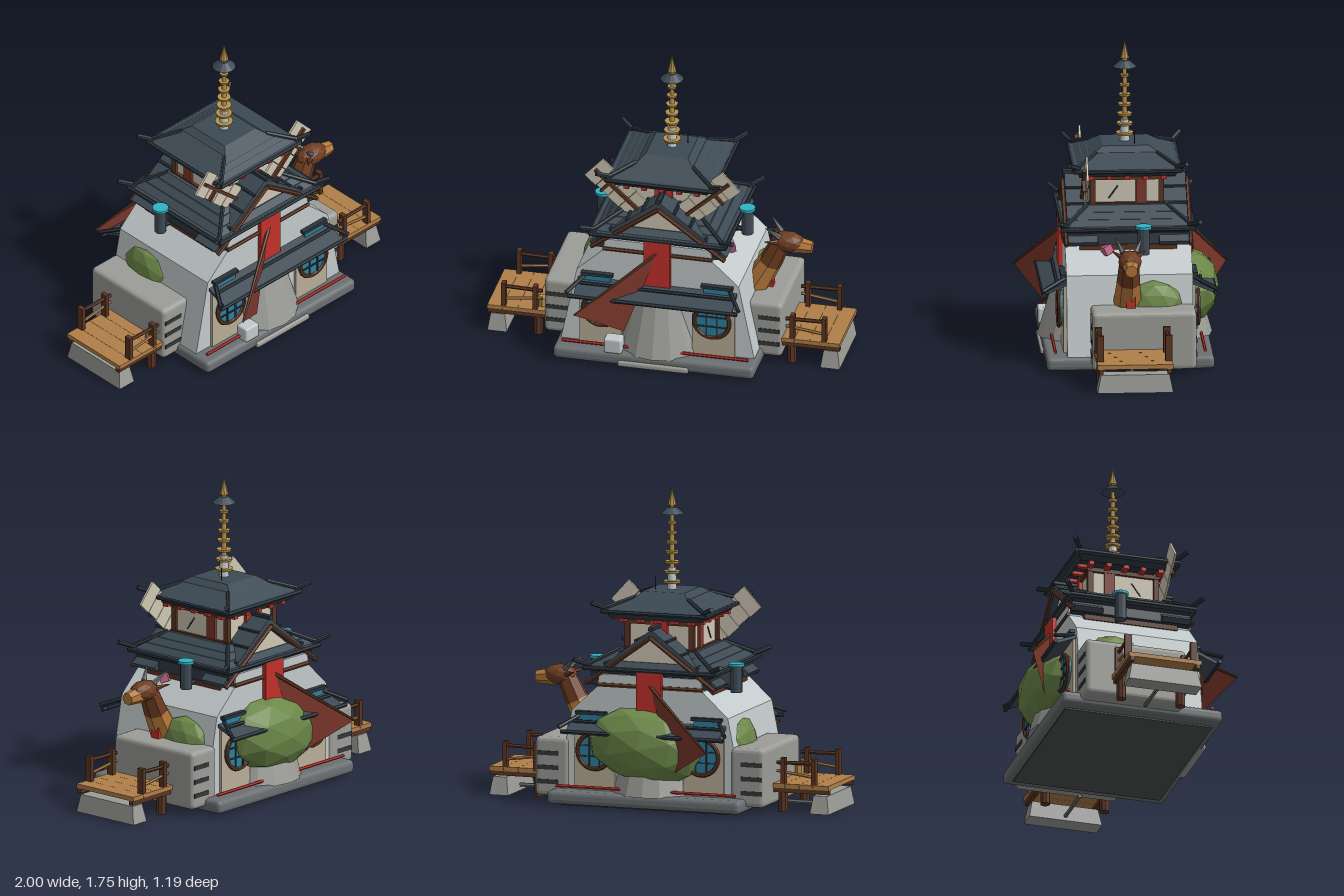
import * as THREE from 'three';
import { RoundedBoxGeometry } from 'three/addons/geometries/RoundedBoxGeometry.js';

const V = (x, y, z) => new THREE.Vector3(x, y, z);
const mats = {};
const mat = (color) => (mats[color] ??= new THREE.MeshStandardMaterial({ color, flatShading: true, side: THREE.DoubleSide }));
const SLATE = 0x3d4a54, DARK = 0x2b353d, RED = 0xc2302a, BROWN = 0x5c3523, WOOD = 0xb07f48, STONE = 0x9c9d98,
  WALL = 0xc3cacb, CREAM = 0xcfc7b4, GREEN = 0x6b8748, GOLD = 0xb8924a, CYAN = 0x2fb3c4, SAIL = 0x7d372b, GREY = 0x6b7072;

export function createModel() {
  const root = new THREE.Group();
  const add = (name, geo, color, x = 0, y = 0, z = 0) => {
    const m = new THREE.Mesh(geo, mat(color));
    m.name = name;
    m.position.set(x, y, z);
    root.add(m);
    return m;
  };
  const box = (name, color, w, h, d, x, y, z) => add(name, new THREE.BoxGeometry(w, h, d), color, x, y, z);
  const round = (name, color, w, h, d, x, y, z, r = 0.02) => add(name, new RoundedBoxGeometry(w, h, d, 2, r), color, x, y, z);
  const cyl = (name, color, r1, r2, h, x, y, z, n = 12) => add(name, new THREE.CylinderGeometry(r1, r2, h, n), color, x, y, z);
  // Tapered rod from a to b
  const rod = (name, color, a, b, r1, r2 = r1, n = 6) => {
    const d = b.clone().sub(a);
    const m = cyl(name, color, r2, r1, d.length(), 0, 0, 0, n);
    m.position.copy(a).add(b).multiplyScalar(0.5);
    m.quaternion.setFromUnitVectors(V(0, 1, 0), d.normalize());
    return m;
  };
  // Box whose top rectangle differs from its bottom (half sizes)
  const frustum = (name, color, w1, d1, y1, w2, d2, y2, x = 0, z = 0) => {
    const g = new THREE.BoxGeometry(2, 2, 2), p = g.attributes.position;
    for (let i = 0; i < p.count; i++) {
      const up = p.getY(i) > 0;
      p.setXYZ(i, p.getX(i) * (up ? w2 : w1), up ? y2 : y1, p.getZ(i) * (up ? d2 : d1));
    }
    return add(name, g, color, x, 0, z);
  };
  const extrude = (name, color, pts, depth, z) => {
    const s = new THREE.Shape(pts.map(([x, y]) => new THREE.Vector2(x, y)));
    return add(name, new THREE.ExtrudeGeometry(s, { depth, bevelEnabled: false }), color, 0, 0, z);
  };

  // Foundation and main body
  round('foundation', GREY, 1.14, 0.075, 0.93, 0, 0.05, 0, 0.025);
  box('foundationCore', 0x4b4f50, 1.0, 0.03, 0.85, 0, 0.02, 0);
  extrude('body', WALL, [[-0.55, 0.08], [0.55, 0.08], [0.46, 0.53], [0.31, 0.67], [0.3, 0.74], [-0.3, 0.74], [-0.31, 0.67], [-0.46, 0.53]], 0.7, -0.35);
  round('frontStep', STONE, 0.4, 0.035, 0.1, 0, 0.03, 0.43, 0.012);
  round('stoneLantern', WALL, 0.1, 0.09, 0.08, -0.23, 0.13, 0.43, 0.012);

  for (const s of [1, -1]) {
    // Buttress, windows and small eaves on the front and back walls
    cyl('buttress', STONE, 0.15, 0.26, 0.38, 0, 0.27, s * 0.225, 16);
    for (const k of [1, -1]) {
      box('wallPanel', 0xb8ad97, 0.24, 0.4, 0.02, k * 0.32, 0.28, s * 0.355);
      const x = k * 0.315, z = s * 0.375;
      cyl('windowPane', 0x2f7f9e, 0.1, 0.1, 0.02, x, 0.31, z, 20).rotation.x = Math.PI / 2;
      add('windowFrame', new THREE.TorusGeometry(0.1, 0.012, 6, 24), BROWN, x, 0.31, z + s * 0.01);
      for (const d of [-0.03, 0.03]) {
        box('windowBar', DARK, 0.19, 0.008, 0.008, x, 0.31 + d, z + s * 0.012);
        box('windowBar', DARK, 0.008, 0.19, 0.008, x + d, 0.31, z + s * 0.012);
      }
      box('transom', 0x2f7f9e, 0.15, 0.05, 0.02, k * 0.34, 0.49, s * 0.36);
      box('transomFrame', DARK, 0.18, 0.018, 0.04, k * 0.34, 0.52, s * 0.36);
      rod('redRail', RED, V(k * 0.14, 0.11, s * 0.415), V(k * 0.53, 0.11, s * 0.415), 0.009);
      rod('eaveHip', DARK, V(k * 0.4, 0.51, s * 0.34), V(k * 0.49, 0.45, s * 0.485), 0.012);
    }
    const eave = box('smallEave', SLATE, 0.9, 0.018, 0.16, 0, 0.455, s * 0.405);
    eave.rotation.x = s * 0.4;
    rod('eaveEdge', DARK, V(-0.48, 0.425, s * 0.475), V(0.48, 0.425, s * 0.475), 0.013);
    rod('eaveRidge', DARK, V(-0.43, 0.475, s * 0.4), V(0.43, 0.475, s * 0.4), 0.01);

    // Banner and slanted sail with its spar
    box('banner', RED, 0.15, 0.29, 0.025, 0, 0.63, s * 0.36);
    const a = V(0, 0.69, s * 0.36), b = V(-0.42, 0.37, s * 0.59), c = V(-0.17, 0.22, s * 0.44);
    add('sail', new THREE.BufferGeometry().setFromPoints([a, b, c]), SAIL).geometry.computeVertexNormals();
    rod('sailSpar', BROWN, a, b, 0.012, 0.006);

    // Cross gable in the lower roof
    extrude('gableWall', CREAM, [[-0.27, 0.74], [0.27, 0.74], [0, 0.96]], 0.27, s > 0 ? 0.03 : -0.3);
    const chevron = [[0, 1.0], [0.39, 0.7], [0.37, 0.675], [0, 0.95], [-0.37, 0.675], [-0.39, 0.7]];
    extrude('gableRoof', SLATE, chevron, 0.165, s > 0 ? 0.17 : -0.335);
    for (const k of [1, -1]) {
      rod('bargeBoard', BROWN, V(0, 0.955, s * 0.345), V(k * 0.38, 0.68, s * 0.345), 0.013);
      for (let i = 1; i < 4; i++)
        rod('gableTileRow', DARK, V(k * i * 0.09, 1.005 - i * 0.069, s * 0.17), V(k * i * 0.09, 1.005 - i * 0.069, s * 0.34), 0.009);
    }
    rod('gableRidge', DARK, V(0, 1.005, s * 0.17), V(0, 1.005, s * 0.345), 0.016);
    rod('gableTie', BROWN, V(-0.31, 0.68, s * 0.35), V(0.31, 0.68, s * 0.35), 0.013);
  }

  // Square stepped roofs with ridge poles that kick up at the corners
  const roof = (name, w, d, y, topW, topD, topY) => {
    frustum(name + 'Soffit', DARK, w * 0.86, d * 0.9, y - 0.03, w * 0.93, d * 0.95, y);
    frustum(name + 'Eave', SLATE, w, d, y, w * 0.98, d * 0.98, y + 0.02);
    const n = 3;
    for (let i = 0; i < n; i++) {
      const at = (e, t) => e + (t - e) * (i / n), nx = (e, t) => e + (t - e) * ((i + 0.85) / n);
      frustum(name + 'Tier', SLATE, at(w * 0.93, topW), at(d * 0.93, topD), at(y + 0.02, topY),
        nx(w * 0.93, topW), nx(d * 0.93, topD), at(y + 0.02, topY) + (topY - y - 0.02) / n);
    }
    for (const i of [1, -1]) {
      rod(name + 'Edge', DARK, V(-w, y + 0.01, i * d), V(w, y + 0.01, i * d), 0.012);
      rod(name + 'Edge', DARK, V(i * w, y + 0.01, -d), V(i * w, y + 0.01, d), 0.012);
      for (const k of [1, -1]) {
        rod(name + 'Hip', DARK, V(i * topW, topY, k * topD), V(i * w * 0.96, y + 0.03, k * d * 0.96), 0.012);
        rod(name + 'Tip', DARK, V(i * w * 0.92, y + 0.025, k * d * 0.92), V(i * (w + 0.05), y + 0.06, k * (d + 0.03)), 0.014);
      }
    }
  };
  roof('lowerRoof', 0.385, 0.365, 0.76, 0.22, 0.22, 0.87);
  frustum('lowerRoofSkirt', DARK, 0.36, 0.34, 0.68, 0.35, 0.34, 0.74);
  for (const k of [1, -1]) box('sideRafter', BROWN, 0.05, 0.03, 0.54, k * 0.32, 0.66, 0);
  roof('upperRoof', 0.305, 0.295, 1.07, 0.16, 0.17, 1.15);
  frustum('roofCap', SLATE, 0.17, 0.19, 1.14, 0.12, 0.13, 1.18);

  // Upper storey with timber frame, doors and red brackets
  box('upperStorey', CREAM, 0.38, 0.24, 0.38, 0, 0.95, 0);
  for (const s of [1, -1]) {
    box('redDoorway', RED, 0.1, 0.22, 0.02, 0, 0.95, s * 0.2);
    box('sideDoor', SAIL, 0.02, 0.15, 0.06, s * 0.195, 0.94, -0.08);
    rod('wallCrack', DARK, V(s * 0.192, 0.9, 0.1), V(s * 0.192, 0.97, 0.05), 0.004);
    for (const y of [0.865, 1.02]) {
      box('beam', BROWN, 0.42, 0.025, 0.025, 0, y, s * 0.195);
      box('beam', BROWN, 0.025, 0.025, 0.42, s * 0.195, y, 0);
    }
    for (const k of [1, -1]) box('cornerPost', BROWN, 0.03, 0.24, 0.03, s * 0.19, 0.95, k * 0.19);
    for (let i = -2; i <= 2; i++) {
      box('bracket', RED, 0.03, 0.025, 0.07, i * 0.1, 1.035, s * 0.23);
      box('bracket', RED, 0.07, 0.025, 0.03, s * 0.23, 1.035, i * 0.1);
    }
    // Slanted slatted vanes beside the gable
    const vane = new THREE.Group();
    vane.name = 'vane';
    for (let i = 0; i < 4; i++) {
      const slat = new THREE.Mesh(new THREE.BoxGeometry(0.14 + (i % 2) * 0.012, 0.085, 0.012), mat(CREAM));
      slat.position.y = 0.02 + i * 0.088;
      vane.add(slat);
    }
    const spine = new THREE.Mesh(new THREE.BoxGeometry(0.018, 0.34, 0.025), mat(BROWN));
    spine.position.set(0, 0.14, 0.012);
    const cross = new THREE.Mesh(new THREE.BoxGeometry(0.15, 0.015, 0.025), mat(BROWN));
    cross.position.set(0, 0.2, 0.012);
    vane.add(spine, cross);
    vane.position.set(s * 0.15, 0.9, 0.23);
    vane.rotation.z = -s * 0.83;
    root.add(vane);
  }

  // Spire
  cyl('spireBase', WALL, 0.022, 0.028, 0.14, 0, 1.23, 0);
  cyl('spirePole', GOLD, 0.01, 0.016, 0.42, 0, 1.46, 0);
  for (let i = 0; i < 7; i++) cyl('spireRing', GOLD, 0.05 - i * 0.004, 0.046 - i * 0.004, 0.014, 0, 1.22 + i * 0.055, 0, 14);
  cyl('spireParasol', SLATE, 0.025, 0.066, 0.035, 0, 1.62, 0);
  add('spireTip', new THREE.ConeGeometry(0.025, 0.1, 8), GOLD, 0, 1.7, 0);
  cyl('spireTipStem', GOLD, 0.012, 0.012, 0.05, 0, 1.645, 0);
  rod('aerial', DARK, V(0.08, 1.15, -0.05), V(0.08, 1.25, -0.05), 0.003);

  for (const s of [1, -1]) {
    // Side blocks with vents
    round('sideBlock', STONE, 0.2, 0.33, 0.58, s * 0.575, 0.205, -0.07, 0.025);
    for (const y of [0.28, 0.2, 0.12])
      for (const z of [0.217, -0.357]) box('vent', 0x34383a, 0.12, 0.025, 0.012, s * 0.6, y, z);
    // Decks
    for (let i = 0; i < 4; i++) box('deckPlank', WOOD, 0.085, 0.025, 0.42, s * (0.7 + i * 0.086), 0.148, 0);
    for (const z of [0.19, -0.19]) {
      box('deckBeam', BROWN, 0.34, 0.03, 0.025, s * 0.83, 0.125, z);
      cyl('deckPile', BROWN, 0.028, 0.028, 0.14, s * 0.72, 0.07, z * 0.9, 8);
      for (const x of [0.73, 0.91]) box('railPost', BROWN, 0.025, 0.16, 0.04, s * x, 0.225, z);
      rod('handRail', BROWN, V(s * 0.69, 0.275, z), V(s * 0.92, 0.28, z), 0.011);
      rod('lowerRail', WOOD, V(s * 0.69, 0.23, z), V(s * 0.92, 0.2, z), 0.009);
    }
    rod('deckBrace', GREY, V(s * 0.62, 0.03, 0), V(s * 0.92, 0.03, 0), 0.012);
    frustum('deckFoot', STONE, 0.055, 0.21, 0, 0.04, 0.19, 0.1, s * 0.945);
    // Chimneys
    cyl('chimney', SLATE, 0.033, 0.033, 0.15, s * 0.41, 0.71, -0.08);
    cyl('chimneyCap', CYAN, 0.045, 0.045, 0.015, s * 0.41, 0.79, -0.08, 16);
    rod('chimneyArm', DARK, V(s * 0.3, 0.66, -0.08), V(s * 0.41, 0.66, -0.08), 0.015);
  }
  cyl('barrel', GOLD, 0.028, 0.028, 0.05, -0.7, 0.185, 0.14, 8);

  // Faceted shrubs
  const shrub = (x, y, z, rx, ry, rz, tilt = 0) => {
    const m = add('shrub', new THREE.IcosahedronGeometry(1, 1), GREEN, x, y, z);
    m.scale.set(rx, ry, rz);
    m.rotation.z = tilt;
  };
  shrub(0.02, 0.35, -0.35, 0.35, 0.21, 0.17, 0.15);
  shrub(0.47, 0.36, -0.13, 0.09, 0.14, 0.17);
  shrub(-0.45, 0.36, -0.13, 0.08, 0.15, 0.18);

  // Animal figurehead: neck, collar, head, muzzle, horns and ears
  rod('lowerNeck', 0xb5793a, V(0.47, 0.36, 0.01), V(0.57, 0.54, 0.01), 0.085, 0.065, 7);
  rod('upperNeck', 0x6e3d22, V(0.56, 0.52, 0.01), V(0.63, 0.67, 0.01), 0.068, 0.055, 7);
  const head = add('head', new THREE.IcosahedronGeometry(1, 1), 0x6e3d22, 0.66, 0.66, 0.01);
  head.scale.set(0.1, 0.06, 0.065);
  rod('muzzle', 0xb5793a, V(0.68, 0.65, 0.01), V(0.8, 0.64, 0.01), 0.052, 0.036, 7);
  box('collar', RED, 0.03, 0.07, 0.05, 0.565, 0.4, 0.0);
  for (const k of [1, -1]) {
    rod('horn', GREY, V(0.62, 0.7, 0.01 + k * 0.035), V(0.55, 0.77, 0.01 + k * 0.075), 0.018, 0.002);
    rod('ear', 0x6e3d22, V(0.61, 0.67, 0.01 + k * 0.04), V(0.55, 0.69, 0.01 + k * 0.09), 0.018, 0.003);
  }
  box('pinkLamp', 0xc0668a, 0.05, 0.05, 0.05, 0.36, 0.65, 0.12).rotation.set(0.4, 0.5, 0);
  return root;
}
